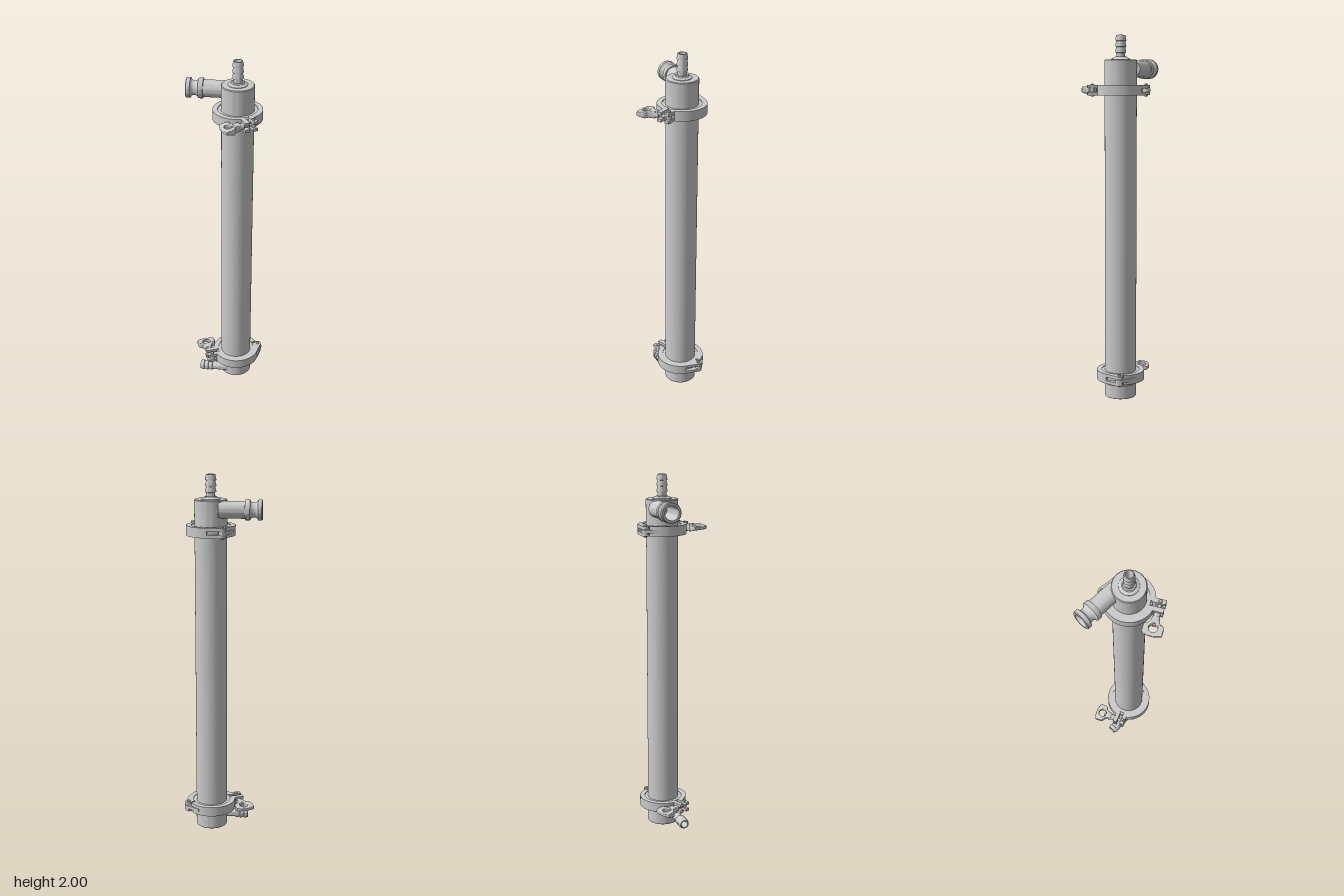
import * as THREE from 'three';
import { toCreasedNormals } from 'three/addons/utils/BufferGeometryUtils.js';

const AX = 0.065, AZ = -0.058; // axis of the main tube
const rad = THREE.MathUtils.degToRad;
const mat = new THREE.MeshStandardMaterial({ color: 0xcccccc, side: THREE.DoubleSide });

function add(parent, name, geometry, x = 0, y = 0, z = 0) {
  const mesh = new THREE.Mesh(geometry, mat);
  mesh.name = name;
  mesh.position.set(x, y, z);
  parent.add(mesh);
  return mesh;
}

// Turned part from [radius, height] pairs
function turned(points, sides = 48) {
  const g = new THREE.LatheGeometry(points.map(p => new THREE.Vector2(...p)), sides);
  return toCreasedNormals(g, rad(35));
}

// Flat plate: the shape lies in x/z, between heights y0 and y1
function plate(shape, y0, y1, bevel = 0) {
  const g = new THREE.ExtrudeGeometry(shape, {
    depth: y1 - y0 - 2 * bevel, curveSegments: 32,
    bevelEnabled: bevel > 0, bevelSize: bevel, bevelThickness: bevel, bevelSegments: 3,
  });
  g.rotateX(Math.PI / 2).translate(0, y1 - bevel, 0);
  return toCreasedNormals(g, rad(35));
}

// Hollow hose tail with barbs, standing on y = 0
function hoseTail(root, length) {
  const pts = [[0.024, 0], [0.024, root]];
  const n = 3, step = (length - root) / n;
  for (let i = 0; i < n; i++) {
    const y = root + i * step;
    pts.push([0.0295, y + 0.002], [0.0295, y + 0.008], [0.0245, y + step]);
  }
  pts.push([0.019, length], [0.018, length - 0.003], [0.018, length - 0.09], [0, length - 0.09]);
  return turned(pts);
}

function arcBand(a0, a1) {
  const s = new THREE.Shape();
  s.absarc(0, 0, 0.133, rad(a0), rad(a1), true);
  s.absarc(0, 0, 0.105, rad(a1), rad(a0), false);
  return s;
}

// Hinged clamp: bolt side on local +z, hinge on local -z
function createClamp(name) {
  const clamp = new THREE.Group();
  clamp.name = name;
  const H = 0.027;

  // Two half rings
  add(clamp, 'rightHalfRing', plate(arcBand(83, -55), -H, H, 0));
  add(clamp, 'leftHalfRing', plate(arcBand(83, -80), -H, H, 0)).scale.x = -1;

  // Hinge: forked arm on one half, tongue on the other
  const arm = new THREE.Shape();
  arm.absarc(0, 0, 0.133, rad(-50), rad(-55), true);
  arm.absarc(0, -0.138, 0.02, rad(-55), rad(-235), true);
  arm.absarc(0, 0, 0.105, rad(-93), rad(-50), false);
  add(clamp, 'hingeForkUpper', plate(arm, 0.01, H));
  add(clamp, 'hingeForkLower', plate(arm, -H, -0.01));
  add(clamp, 'hingeTongue', plate(arm, -0.009, 0.009), 0, 0, -0.004).scale.x = -1;
  const pin = turned([[0, -0.034], [0.007, -0.034], [0.01, -0.031], [0.01, 0.031], [0.007, 0.034], [0, 0.034]], 24);
  add(clamp, 'hingePin', pin, 0, 0, -0.138);

  // Forked ears either side of the split
  for (const side of [-1, 1]) {
    for (const level of [-1, 1]) {
      add(clamp, 'clampEar', new THREE.BoxGeometry(0.025, 0.016, 0.07), side * 0.023, level * 0.019, 0.147);
    }
    add(clamp, 'earWeb', new THREE.BoxGeometry(0.025, 0.03, 0.022), side * 0.023, 0, 0.122);
  }

  // Swing bolt on its pin
  add(clamp, 'boltPin', pin, 0.021, 0, 0.154);
  add(clamp, 'boltEye', new THREE.CylinderGeometry(0.014, 0.014, 0.02, 24), 0.021, 0, 0.154);
  add(clamp, 'swingBolt', new THREE.CylinderGeometry(0.009, 0.009, 0.126, 20).rotateZ(Math.PI / 2), -0.041, 0, 0.154);

  // Wing nut: tapered barrel and a pierced wing that thins toward its tip
  add(clamp, 'nutBarrel', new THREE.CylinderGeometry(0.017, 0.02, 0.058, 28).rotateZ(-Math.PI / 2), -0.065, 0, 0.154);
  const wing = new THREE.Shape();
  wing.moveTo(-0.06, -0.014);
  wing.lineTo(-0.06, 0.014);
  wing.quadraticCurveTo(-0.095, 0.018, -0.1, 0.034);
  wing.quadraticCurveTo(-0.102, 0.046, -0.115, 0.047);
  wing.lineTo(-0.143, 0.047);
  wing.quadraticCurveTo(-0.164, 0, -0.143, -0.047);
  wing.lineTo(-0.115, -0.047);
  wing.quadraticCurveTo(-0.102, -0.046, -0.1, -0.034);
  wing.quadraticCurveTo(-0.095, -0.018, -0.06, -0.014);
  const hole = new THREE.Path();
  hole.absarc(-0.117, 0, 0.028, 0, Math.PI * 2, true);
  wing.holes.push(hole);
  const wingGeo = plate(wing, -0.019, 0.019, 0.005);
  const p = wingGeo.attributes.position;
  for (let i = 0; i < p.count; i++) {
    const t = THREE.MathUtils.clamp((-p.getX(i) - 0.1) / 0.06, 0, 1);
    p.setY(i, p.getY(i) * (1 - 0.6 * t));
  }
  add(clamp, 'nutWing', toCreasedNormals(wingGeo, rad(35)), 0, 0, 0.154);
  return clamp;
}

export function createModel() {
  const model = new THREE.Group();
  model.name = 'filterColumn';

  // Main tube and its end caps
  add(model, 'mainTube', new THREE.CylinderGeometry(0.087, 0.087, 1.6, 64, 1, true), AX, 0.91, AZ);
  add(model, 'bottomCap', turned([[0, 0], [0.086, 0], [0.088, 0.002], [0.088, 0.075], [0.086, 0.077], [0.086, 0.115]], 64), AX, 0, AZ);
  add(model, 'topCap', turned([[0.088, 1.7], [0.088, 1.866], [0.084, 1.87], [0, 1.87]], 64), AX, 0, AZ);

  // Flanged joints, each held by a clamp
  const joints = [['upper', 1.707, 30], ['lower', 0.124, -67]];
  for (const [label, y, turn] of joints) {
    add(model, label + 'Flange', turned([[0.086, -0.023], [0.107, -0.023], [0.118, -0.015],
      [0.118, 0.015], [0.107, 0.023], [0.086, 0.023]], 64), AX, y, AZ);
    const clamp = createClamp(label + 'Clamp');
    clamp.position.set(AX, y, AZ);
    clamp.rotation.y = rad(turn);
    model.add(clamp);
  }

  // Hose tail on top, with its collar
  add(model, 'topCollar', turned([[0.052, 0], [0.052, 0.004], [0.046, 0.009], [0.036, 0.011], [0.032, 0.016], [0.024, 0.016]]), AX, 1.869, AZ);
  add(model, 'topHoseTail', hoseTail(0.035, 0.13), AX, 1.87, AZ);

  // Tangential side port with a grooved coupling end
  const port = [[0, 0], [0.046, 0], [0.046, 0.14], [0.053, 0.141], [0.054, 0.143], [0.054, 0.167]];
  for (let i = 1; i <= 8; i++) {
    const a = (i / 8) * Math.PI;
    port.push([0.052 - 0.014 * Math.sin(a), 0.188 - 0.02 * Math.cos(a)]);
  }
  port.push([0.054, 0.21], [0.054, 0.229], [0.051, 0.233], [0.039, 0.233], [0.037, 0.23], [0.037, 0.06], [0, 0.06]);
  add(model, 'sidePort', turned(port), 0.02, 1.82, -0.105).rotation.z = Math.PI / 2;

  // Tangential hose tail near the base
  add(model, 'bottomHoseTail', hoseTail(0.1, 0.172), 0.03, 0.04, -0.003).rotation.z = Math.PI / 2;

  return model;
}
